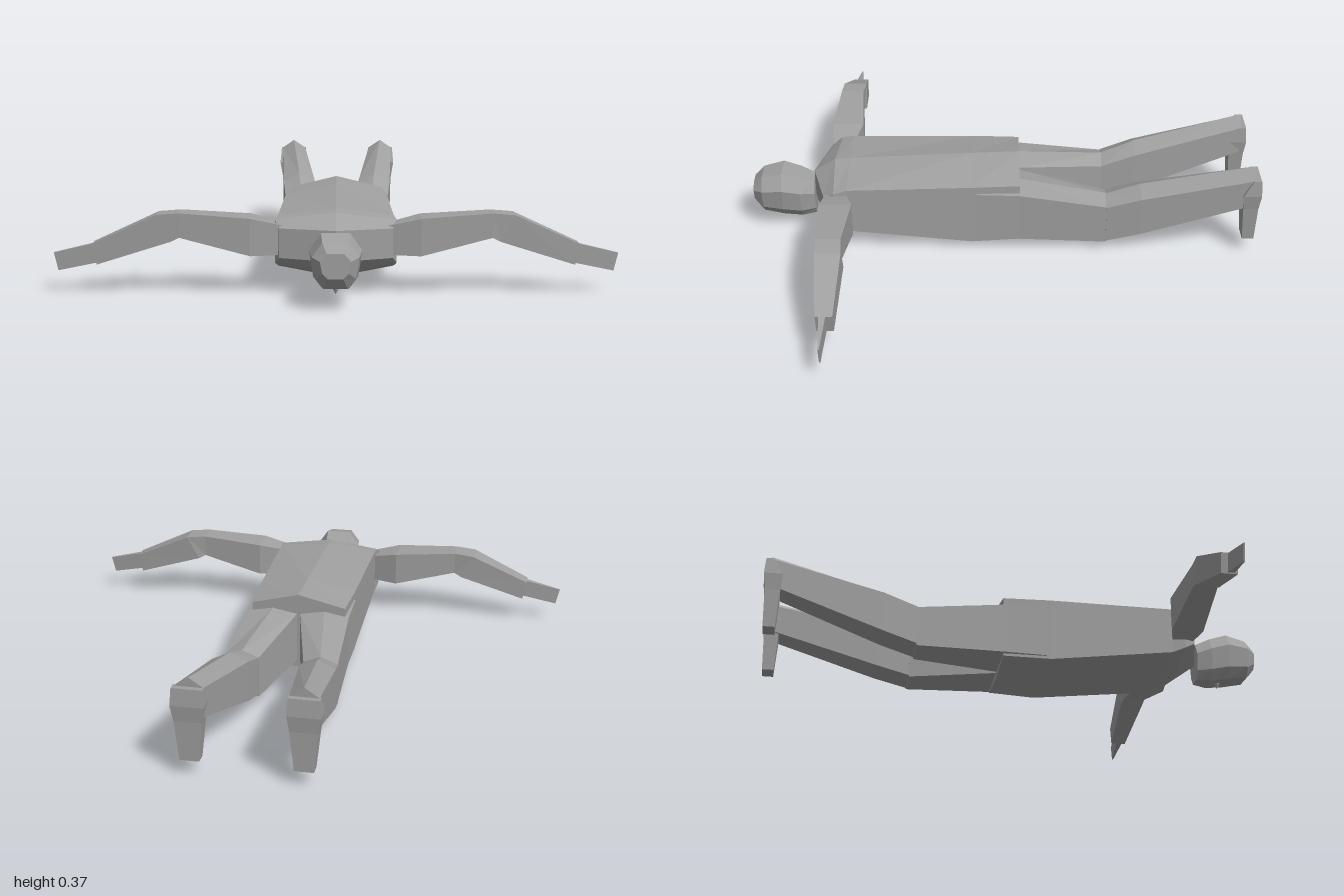
import * as THREE from 'three';

const grey = new THREE.MeshStandardMaterial({ color: 0xa0a0a0, flatShading: true });
grey.name = 'plain grey';

// Skin a list of equal-sized point rings, close both ends and face it outwards.
function loft(name, rings) {
  const n = rings[0].length, tris = [];
  for (let i = 0; i < rings.length - 1; i++) {
    for (let j = 0; j < n; j++) {
      const k = (j + 1) % n, a = rings[i], b = rings[i + 1];
      tris.push([a[j], a[k], b[k]], [a[j], b[k], b[j]]);
    }
  }
  const first = rings[0], last = rings[rings.length - 1];
  for (let j = 1; j < n - 1; j++) {
    tris.push([first[0], first[j + 1], first[j]], [last[0], last[j], last[j + 1]]);
  }
  // Signed volume about the first point tells whether the corners run inside out
  const v = p => new THREE.Vector3(...p), o = v(first[0]);
  let volume = 0;
  for (const [a, b, c] of tris) {
    volume += v(a).sub(o).dot(v(b).sub(o).cross(v(c).sub(o)));
  }
  if (volume < 0) tris.forEach(t => t.reverse());
  const geo = new THREE.BufferGeometry();
  geo.setAttribute('position', new THREE.Float32BufferAttribute(tris.flat(2), 3));
  geo.computeVertexNormals();
  const mesh = new THREE.Mesh(geo, grey);
  mesh.name = name;
  return mesh;
}

// Ring across the torso: ridge, side edges and keel; mid is the z of the centre points
const torsoRing = (z, w, top, edgeTop, edgeLow, low, mid = z) => [
  [0, top, mid], [w, edgeTop, z], [w, edgeLow, z],
  [0, low, mid], [-w, edgeLow, z], [-w, edgeTop, z],
];

// Eight-sided ring across the head
const headRing = (z, w, top, low) => {
  const h = top - low;
  const half = [[w * 0.55, top - h * 0.06], [w, top - h * 0.35], [w * 0.85, low + h * 0.2], [w * 0.5, low]];
  return [...half.map(([x, y]) => [x, y, z]), ...half.reverse().map(([x, y]) => [-x, y, z])];
};

// Ring across an arm, from its y and z ranges; lean shifts the lower edge sideways
const armRing = (s, x, y0, y1, z0, z1, lean = 0) => [
  [s * (x - lean), y0, z0], [s * x, y1, z0], [s * x, y1, z1], [s * (x - lean), y0, z1],
];

// Five-sided ring across a leg with a ridge along the back
const legRing = (s, z, x0, x1, low, edge, ridge) => [
  [s * x0, low, z], [s * x0, edge, z], [s * (x0 + x1) / 2, ridge, z], [s * x1, edge, z], [s * x1, low, z],
];

// Level ring across a foot
const footRing = (s, y, x0, x1, z0, z1) => [
  [s * x0, y, z0], [s * x1, y, z0], [s * x1, y, z1], [s * x0, y, z1],
];

export function createModel() {
  const model = new THREE.Group();
  model.name = 'proneFigure';

  // Torso, from hips to the pointed neckline
  model.add(loft('torso', [
    torsoRing(-0.065, 0.185, 0.32, 0.275, 0.03, 0.01),
    torsoRing(0.12, 0.195, 0.313, 0.275, 0.025, 0),
    torsoRing(0.6, 0.205, 0.292, 0.27, 0.085, 0.045),
    torsoRing(0.65, 0.215, 0.287, 0.26, 0.105, 0.07, 0.66),
    torsoRing(0.69, 0.2, 0.235, 0.235, 0.13, 0.125, 0.745),
  ]));

  // Head, crown forwards and face down
  model.add(loft('head', [
    headRing(0.745, 0.055, 0.215, 0.055),
    headRing(0.8, 0.08, 0.24, 0.05),
    headRing(0.87, 0.09, 0.262, 0.06),
    headRing(0.95, 0.08, 0.24, 0.075),
    headRing(0.985, 0.052, 0.205, 0.115),
  ]));
  const nose = new THREE.Mesh(new THREE.ConeGeometry(0.022, 0.04, 4), grey);
  nose.name = 'nose';
  nose.rotation.x = Math.PI;
  nose.position.set(0, 0.052, 0.835);
  model.add(nose);

  for (const [s, side] of [[1, 'left'], [-1, 'right']]) {
    // Arm bending down at the elbow, then a thin tapered hand
    model.add(loft(side + 'Arm', [
      armRing(s, 0.17, 0.14, 0.24, 0.61, 0.68),
      armRing(s, 0.3, 0.137, 0.27, 0.573, 0.697),
      armRing(s, 0.55, 0.2, 0.287, 0.59, 0.682),
      armRing(s, 0.63, 0.185, 0.28, 0.583, 0.678, 0.05),
      armRing(s, 0.86, 0.1, 0.175, 0.598, 0.66, 0.015),
    ]));
    model.add(loft(side + 'Hand', [
      armRing(s, 0.85, 0.107, 0.175, 0.622, 0.648, 0.015),
      armRing(s, 1, 0.075, 0.14, 0.633, 0.638, 0.015),
    ]));

    // Thigh and hip
    model.add(loft(side + 'Thigh', [
      legRing(s, 0.1, 0.01, 0.2, 0.037, 0.245, 0.265),
      legRing(s, -0.06, 0.005, 0.2, 0.04, 0.24, 0.258),
      legRing(s, -0.4, 0.085, 0.215, 0.035, 0.195, 0.22),
    ]));
    // Knee and raised calf
    model.add(loft(side + 'Calf', [
      legRing(s, -0.4, 0.087, 0.218, 0.042, 0.195, 0.22),
      legRing(s, -0.53, 0.095, 0.23, 0.08, 0.238, 0.27),
      legRing(s, -0.96, 0.147, 0.25, 0.225, 0.335, 0.37),
    ]));
    // Foot hanging down from the ankle
    model.add(loft(side + 'Foot', [
      footRing(s, 0.06, 0.165, 0.235, -0.975, -0.93),
      footRing(s, 0.21, 0.15, 0.25, -0.978, -0.92),
      footRing(s, 0.27, 0.142, 0.26, -0.985, -0.915),
      footRing(s, 0.335, 0.145, 0.255, -0.98, -0.95),
    ]));
  }
  return model;
}
